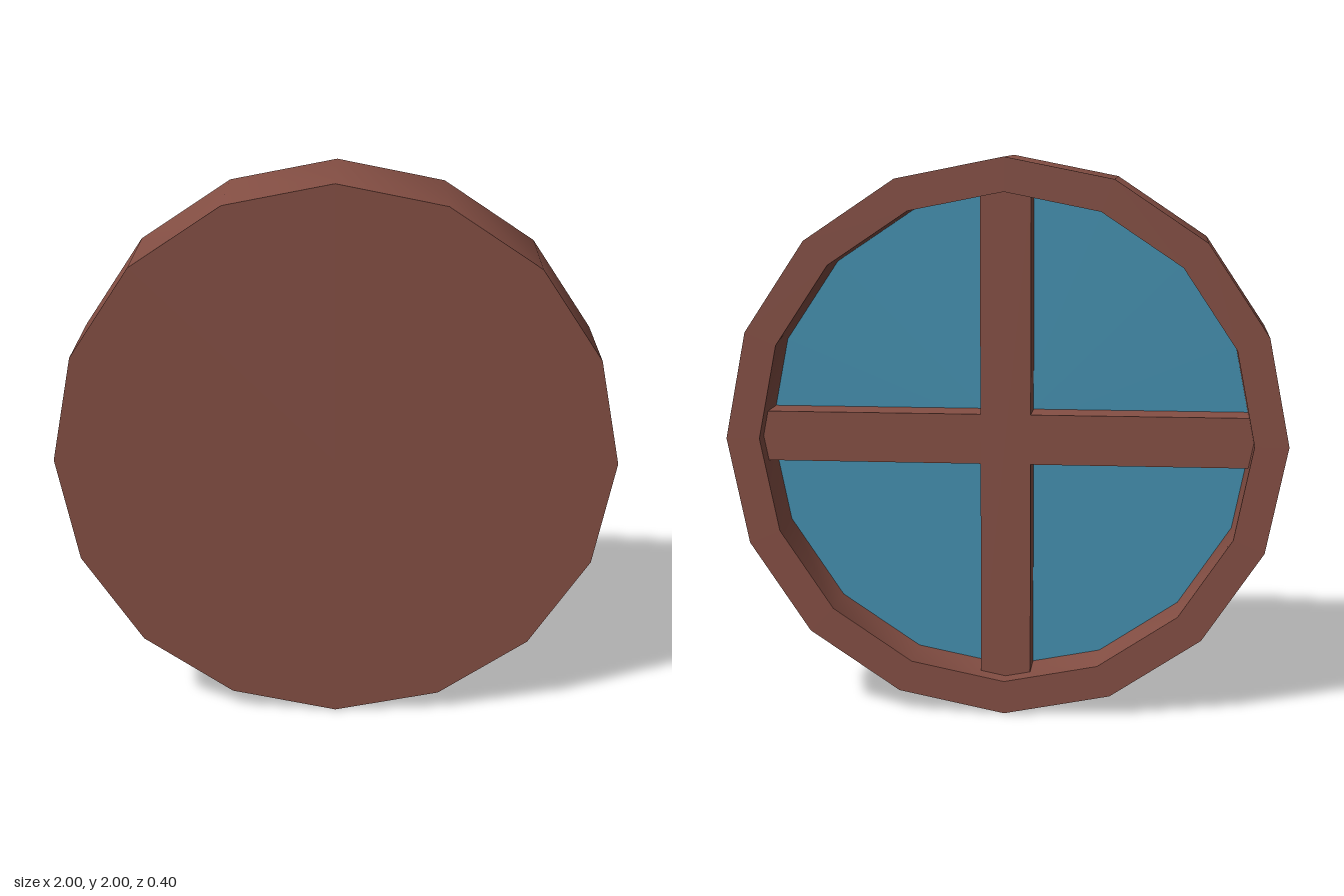
import * as THREE from 'three';
import { toCreasedNormals } from 'three/addons/utils/BufferGeometryUtils.js';

const SIDES = 16;
const INNER = 0.88;      // radius of the opening
const HALF_DEPTH = 0.2;
const BAR_WIDTH = 0.18;
const BAR_DEPTH = 0.133;

export function createModel() {
  const group = new THREE.Group();
  group.name = 'roundWindow';
  const wood = new THREE.MeshStandardMaterial({ color: 0x854f44 });
  const glassBlue = new THREE.MeshStandardMaterial({ color: 0x4490b0 });

  const add = (name, geometry, material, z = 0) => {
    const mesh = new THREE.Mesh(geometry, material);
    mesh.name = name;
    mesh.position.set(0, 1, z);
    group.add(mesh);
  };

  // Frame: open at the back, closed by a flat face at the front
  const profile = [
    [INNER, 0], [INNER, -HALF_DEPTH], [1, -HALF_DEPTH], [1, HALF_DEPTH], [0, HALF_DEPTH],
  ].map(([r, z]) => new THREE.Vector2(r, z));
  const frame = new THREE.LatheGeometry(profile, SIDES).rotateX(Math.PI / 2);
  add('frame', toCreasedNormals(frame, Math.PI / 4), wood);

  // Glass pane facing the back
  add('glass', new THREE.CircleGeometry(INNER, SIDES).rotateY(Math.PI), glassBlue);

  // Crossed glazing bars, their ends sunk into the frame
  const length = 2 * INNER;
  add('verticalBar', new THREE.BoxGeometry(BAR_WIDTH, length, BAR_DEPTH), wood, -BAR_DEPTH / 2);
  add('horizontalBar', new THREE.BoxGeometry(length, BAR_WIDTH, BAR_DEPTH), wood, -BAR_DEPTH / 2);

  return group;
}
